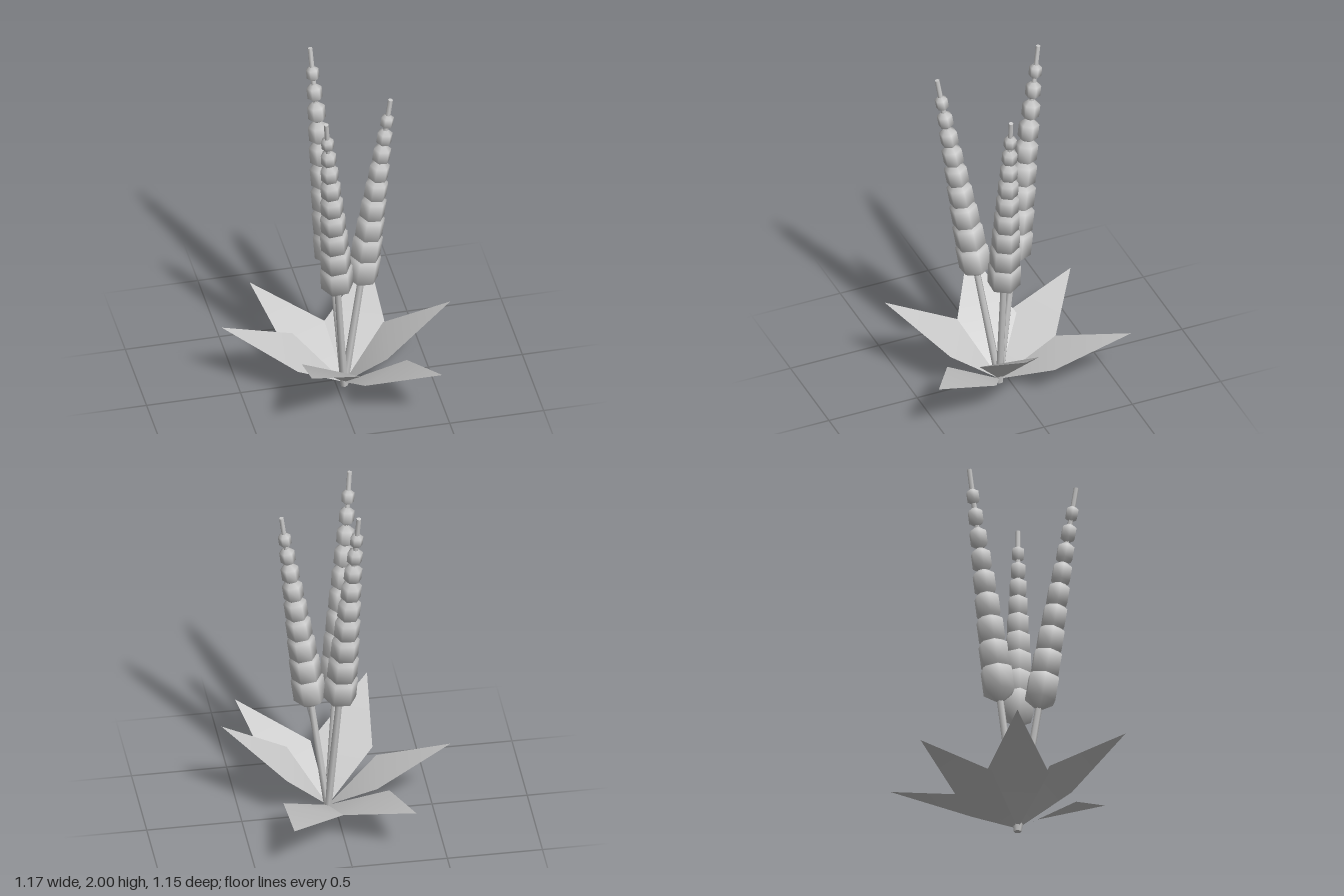
import * as THREE from 'three';

export function createModel() {
  const group = new THREE.Group();
  const grey = new THREE.MeshStandardMaterial({ color: 0xcccccc, side: THREE.DoubleSide });
  grey.name = 'plain grey';
  const base = new THREE.Vector3(0.04, 0, 0.052);
  const up = new THREE.Vector3(0, 1, 0);

  // Flower spikes: a straight tapering stem threaded with shrinking buds
  const budCount = 9;
  function addSpike(name, tip) {
    const spike = new THREE.Group();
    spike.name = name;
    const axis = tip.clone().sub(base);
    const length = axis.length();
    spike.position.copy(base);
    spike.quaternion.setFromUnitVectors(up, axis.normalize());

    const stemGeo = new THREE.CylinderGeometry(0.013, 0.021, length, 6);
    stemGeo.translate(0, length / 2, 0);
    const stem = new THREE.Mesh(stemGeo, grey);
    stem.name = 'stem';
    spike.add(stem);

    for (let i = 0; i < budCount; i++) {
      const u = i / (budCount - 1);
      const radius = THREE.MathUtils.lerp(0.1, 0.039, u);
      const bud = new THREE.Mesh(new THREE.SphereGeometry(radius, 6, 3), grey);
      bud.name = 'bud';
      bud.scale.y = 1.27;
      bud.position.y = length * (0.415 + 0.51 * (1.13 * u - 0.13 * u * u));
      spike.add(bud);
    }
    group.add(spike);
  }
  addSpike('backSpike', new THREE.Vector3(-0.08, 1.997, -0.22));
  addSpike('frontSpike', new THREE.Vector3(-0.12, 1.91, 0.335));
  addSpike('leftSpike', new THREE.Vector3(0.278, 1.828, 0.09));

  // Leaves: bent kites given by one side corner, the tip and the other side corner
  const leaves = {
    backRightLeaf: [[-0.255, 0.2, -0.13], [-0.335, 0.31, -0.515], [0.01, 0.175, -0.28]],
    backLeftLeaf: [[0.01, 0.175, -0.28], [0.315, 0.308, -0.575], [0.305, 0.19, -0.145]],
    leftLeaf: [[0.275, 0.275, -0.07], [0.585, 0.51, 0.14], [0.225, 0.27, 0.245]],
    frontLeftLeaf: [[0.34, 0.215, 0.2], [0.445, 0.37, 0.572], [0.08, 0.21, 0.365]],
    frontRightLeaf: [[0.065, 0.255, 0.34], [-0.25, 0.463, 0.575], [-0.215, 0.265, 0.18]],
    rightLeaf: [[-0.235, 0.215, 0.175], [-0.59, 0.4, -0.045], [-0.19, 0.225, -0.145]],
  };
  for (const [name, [cornerA, tip, cornerB]] of Object.entries(leaves)) {
    const geo = new THREE.BufferGeometry();
    const points = [base.x, 0.015, base.z, ...cornerA, ...tip, ...cornerB];
    geo.setAttribute('position', new THREE.Float32BufferAttribute(points, 3));
    geo.setIndex([0, 3, 1, 1, 3, 2]);
    geo.computeVertexNormals();
    // Keep the upper side as the front face
    if (geo.attributes.normal.getY(1) < 0) {
      geo.setIndex([0, 1, 3, 1, 2, 3]);
      geo.computeVertexNormals();
    }
    const leaf = new THREE.Mesh(geo, grey);
    leaf.name = name;
    group.add(leaf);
  }
  return group;
}
